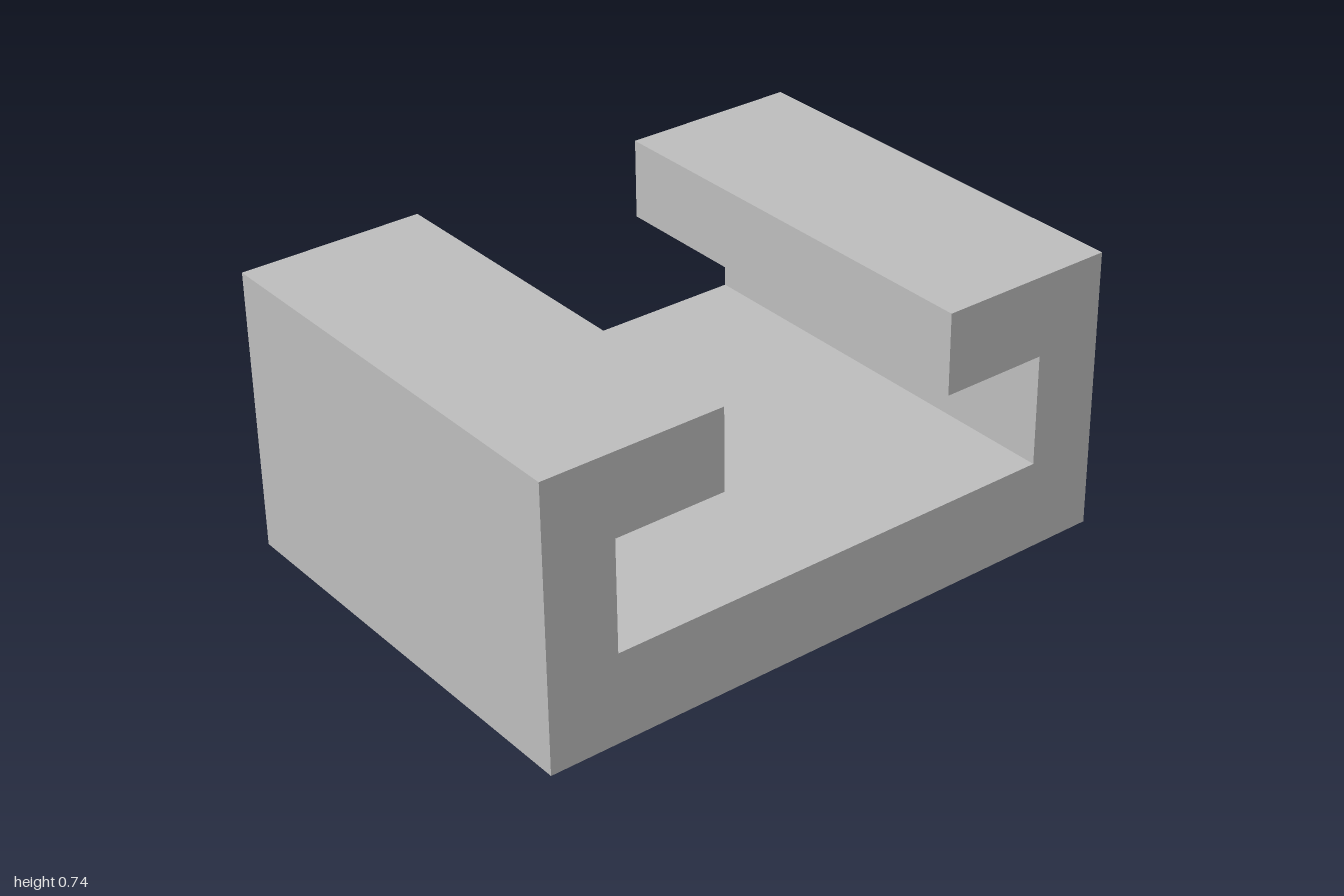
import * as THREE from 'three';

const W = 0.58, FRONT = 1, BACK = -0.59;
const shapeOf = pts => new THREE.Shape(pts.map(p => new THREE.Vector2(...p)));

// Removes the triangles for which test(normal, y) is true
function dropFaces(geometry, test) {
  const g = geometry.index ? geometry.toNonIndexed() : geometry;
  const p = g.attributes.position, n = g.attributes.normal, keep = [];
  for (let i = 0; i < p.count; i += 3) {
    if (!test(n.getY(i), p.getY(i))) keep.push(i, i + 1, i + 2);
  }
  g.clearGroups();
  g.setIndex(keep);
  return g;
}

export function createModel() {
  const group = new THREE.Group();
  const grey = new THREE.MeshStandardMaterial({ color: 0xc0c0c0 });
  grey.name = 'grey';
  const add = (name, geometry) => {
    const mesh = new THREE.Mesh(geometry, grey);
    mesh.name = name;
    group.add(mesh);
  };

  // Slotted channel: (z, y) profile run along x, underside left open
  const profile = shapeOf([
    [BACK, 0], [FRONT, 0], [FRONT, 0.735], [0.525, 0.735], [0.525, 0.525], [0.815, 0.525],
    [0.815, 0.235], [-0.405, 0.235], [-0.405, 0.525], [-0.12, 0.525], [-0.12, 0.735], [BACK, 0.735],
  ]);
  const channel = new THREE.ExtrudeGeometry(profile, { depth: 2 * W, bevelEnabled: false });
  channel.rotateY(-Math.PI / 2).translate(W, 0, 0);
  add('channel', dropFaces(channel, (ny, y) => ny < -0.9 && Math.abs(y) < 0.001));

  // Underside with a round opening
  const r = 0.21, zc = (FRONT + BACK) / 2;
  const bottom = shapeOf([[-W, BACK], [W, BACK], [W, FRONT], [-W, FRONT]]);
  bottom.holes.push(new THREE.Path().absarc(0, zc, r, 0, Math.PI * 2, true));
  add('underside', new THREE.ShapeGeometry(bottom, 24).rotateX(Math.PI / 2));

  // Domed socket, seen from inside: the profile runs from the crown down
  const arc = [];
  for (let i = 0; i <= 16; i++) {
    const a = (i / 16) * Math.PI / 2;
    arc.push(new THREE.Vector2(r * Math.sin(a), r * Math.cos(a)));
  }
  add('socket', new THREE.LatheGeometry(arc, 48).translate(0, 0, zc));

  // Tapered pointer on the back
  const outline = shapeOf([[-0.35, BACK], [-0.05, -1], [0.05, -1], [0.35, BACK]]);
  const pointer = new THREE.ExtrudeGeometry(outline, { depth: 0.165, bevelEnabled: false });
  add('pointer', pointer.rotateX(Math.PI / 2).translate(0, 0.165, 0));

  return group;
}
